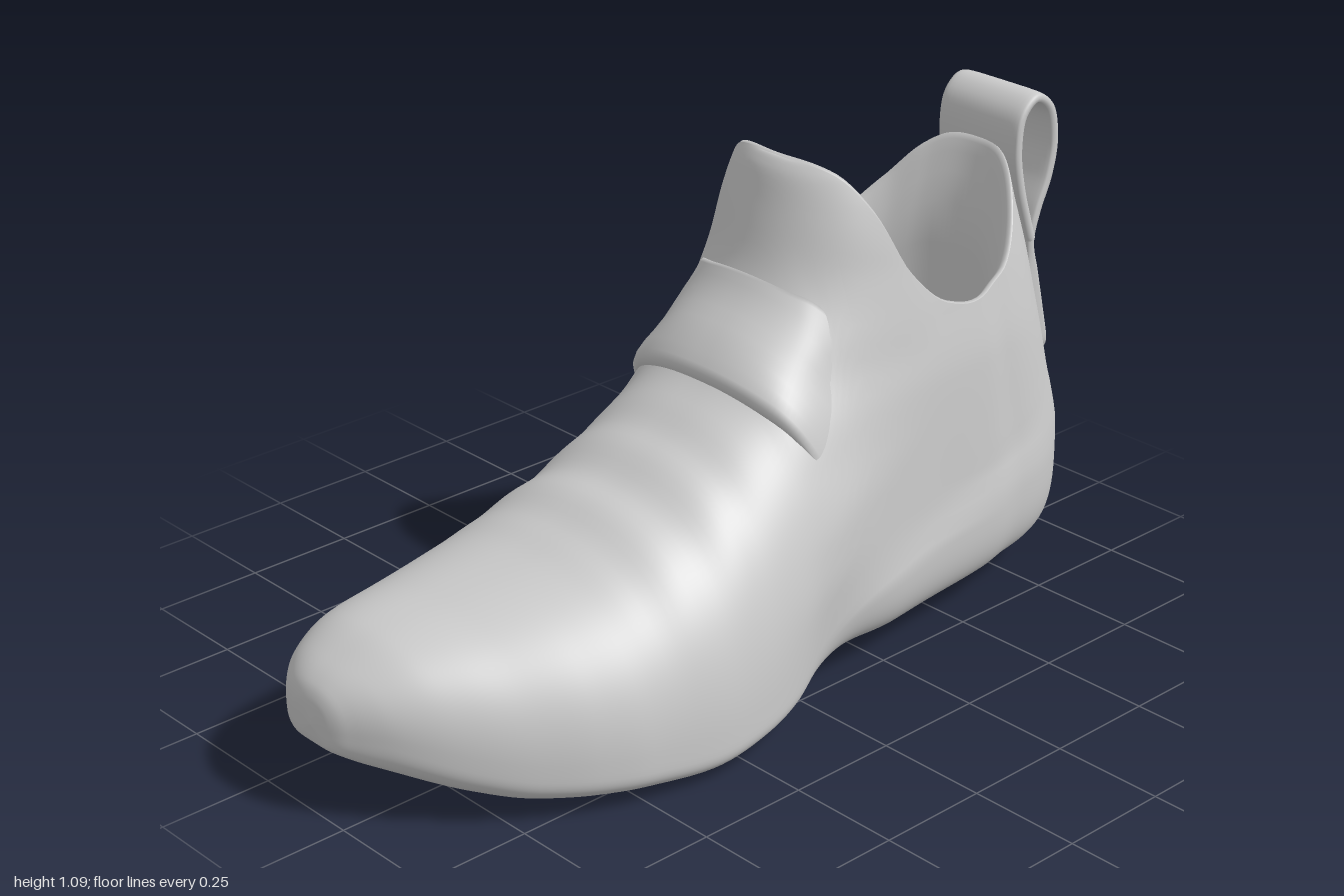
import * as THREE from 'three';
import { mergeGeometries, mergeVertices } from 'three/addons/utils/BufferGeometryUtils.js';

const PI = Math.PI;
const { smoothstep: smooth, lerp } = THREE.MathUtils;

// Monotone cubic curve through [x, value] pairs
function curve(p) {
  const d = p.slice(1).map((q, i) => (q[1] - p[i][1]) / (q[0] - p[i][0]));
  const m = p.map((_, i) => {
    if (i === 0) return d[0];
    if (i === d.length) return d[i - 1];
    return d[i - 1] * d[i] <= 0 ? 0 : 2 * d[i - 1] * d[i] / (d[i - 1] + d[i]);
  });
  return x => {
    let i = 0;
    while (i < p.length - 2 && x > p[i + 1][0]) i++;
    const h = p[i + 1][0] - p[i][0];
    const t = Math.min(1, Math.max(0, (x - p[i][0]) / h)), s = 1 - t;
    return p[i][1] * s * s * (1 + 2 * t) + p[i + 1][1] * t * t * (3 - 2 * t)
      + h * t * s * (m[i] * s - m[i + 1] * t);
  };
}

// Side profile: top line (vamp, tongue, collar, heel) and sole line
const topLine = curve([[-1, .2], [-.995, .25], [-.98, .28], [-.93, .32], [-.85, .36], [-.7, .39], [-.5, .44],
  [-.4, .485], [-.3, .525], [-.2, .58], [-.12, .63], [-.05, .68], [0, .74], [.06, .81], [.1, .88], [.14, .99],
  [.17, 1.07], [.19, 1.09], [.22, 1.075], [.27, 1], [.35, .85], [.45, .765], [.54, .742], [.65, .768],
  [.74, .845], [.8, .925], [.84, .96], [.87, .85], [.895, .75], [.915, .65], [.94, .55], [.965, .45],
  [.98, .4], [.987, .34], [.99, .2]]);
const soleLine = curve([[-1, .2], [-.995, .16], [-.98, .145], [-.9, .105], [-.8, .06], [-.7, .03], [-.5, .01],
  [-.35, 0], [-.2, .015], [0, .045], [.12, .05], [.3, .035], [.5, .04], [.8, .055], [.94, .07], [.975, .09],
  [.987, .13], [.99, .2]]);
// Plan outline on both sides; the heel is rounded off separately
const outerEdge = curve([[-1, -.09], [-.995, -.15], [-.97, -.21], [-.9, -.28], [-.8, -.335], [-.7, -.36],
  [-.5, -.38], [-.2, -.365], [0, -.35], [.2, -.36], [.6, -.355], [.7, -.345], [.99, -.335]]);
const innerEdge = curve([[-1, -.09], [-.995, -.04], [-.97, .01], [-.9, .1], [-.8, .19], [-.7, .26], [-.6, .315],
  [-.5, .35], [-.3, .38], [-.1, .36], [0, .335], [.2, .295], [.4, .27], [.6, .255], [.7, .235], [.99, .215]]);
// Ankle: wall taper by height, and depth of the rounded front by height
const wallTaper = curve([[.3, 1], [.6, .97], [.75, .9], [.9, .8], [1, .73], [1.09, .7]]);
const frontDepth = curve([[.5, .7], [.7, .45], [.85, .29], [1, .21], [1.09, .25]]);
const OPEN0 = .19, OPEN1 = .84, HEEL = .99;

// Where the top line reaches height y between a low end and a high end
function crossing(y, low, high) {
  for (let i = 0; i < 40; i++) {
    const x = (low + high) / 2;
    if (topLine(x) < y) low = x; else high = x;
  }
  return (low + high) / 2;
}

// Point on the shoe surface: station x, angle a round the section (0 = inner side, 90 degrees = top)
function surface(x, a) {
  const bottom = soleLine(x), fold = smooth(x, -.55, -.4) * (1 - smooth(x, -.2, -.08));
  const si = Math.sin(a), co = Math.cos(a), side = co < 0 ? -1 : 1;
  const cs = Math.abs(co) < 1e-5 ? 0 : Math.abs(co), sn = Math.abs(si);
  const top = topLine(x) + .004 * fold * Math.sin(x * 48);
  const mid = bottom + Math.min(.4 * (top - bottom), .08 + .17 * smooth(x, -.15, .4));
  const y = si >= 0 ? mid + (top - mid) * sn ** .85 : mid - (mid - bottom) * sn ** .6;

  // plan outline, its heel end moved forward with height
  const plan = x + (HEEL - crossing(y, HEEL, OPEN1)) * smooth(x, .4, .75);
  const heel = Math.min(1, Math.max(0, (plan - .7) / (HEEL - .7)));
  const centre = (innerEdge(plan) + outerEdge(plan)) / 2;
  const half = (innerEdge(plan) - outerEdge(plan)) / 2 * (1 - heel ** 2.1) ** (1 / 2.1);

  // forefoot dome turning into upright ankle walls
  const dome = si >= 0 ? cs ** .85 : 1;
  const front = Math.min(1, Math.max(0, (x - crossing(y, -1, OPEN0)) / frontDepth(y)));
  const ankle = wallTaper(y) * Math.sqrt(1 - (1 - front) ** 2);
  let w = half * lerp(dome, ankle, smooth(x, -.1, .15));
  if (si < 0) w *= cs ** .4;
  if (cs === 0 && (x <= OPEN0 || x >= OPEN1)) w = 0;

  // step above the midsole and narrow waist under the arch
  const line = .19 + .2 * x;
  w *= 1 - .04 * smooth(x, -.2, .3) * smooth(y, line - .04, line + .04);
  w *= 1 - .1 * Math.exp(-(((x - .06) / .15) ** 2)) * (1 - smooth(y, .06, .32));
  return new THREE.Vector3(x, y, centre + side * w);
}

// Skin a grid of points; wrap joins the last column to the first
function loft(rows, wrap = false) {
  const n = rows[0].length, index = [];
  for (let i = 0; i < rows.length - 1; i++) {
    for (let j = 0; j < (wrap ? n : n - 1); j++) {
      const k = (j + 1) % n, a = i * n + j, d = i * n + k;
      index.push(a, a + n, d + n, a, d + n, d);
    }
  }
  const g = new THREE.BufferGeometry().setFromPoints(rows.flat());
  g.setIndex(index);
  g.computeVertexNormals();
  return g;
}

const range = (n, f) => Array.from({ length: n + 1 }, (_, i) => f(i / n));
const ease = u => (1 - Math.cos(PI * u)) / 2;

// Outer shell and lining welded into one smooth skin
function shoeBody() {
  const openX = range(60, u => OPEN0 + (OPEN1 - OPEN0) * ease(u));
  const stations = [
    ...range(100, u => -1 + (OPEN0 + 1) * ease(u)).slice(0, -1),
    ...openX,
    ...range(40, u => OPEN1 + (HEEL - OPEN1) * ease(u)).slice(1)];
  const E = 1e-7;
  const shell = loft(stations.map(x => range(120, u => surface(x, PI / 2 + E + u * (2 * PI - 2 * E)))));

  // lining drops from the collar edge to the footbed: [scale, depth]; the heel side is padded
  const rim = [
    ...openX.map(x => surface(x, PI / 2 + E)),
    ...openX.slice(1, -1).reverse().map(x => surface(x, PI / 2 - E))];
  const drop = [[1, 0], [.985, -.004], [.965, .012], [.945, .045], [.935, .1], [.93, .18], [.93, .3], [.93, .55],
    [.91, .78], [.85, .92], [.7, .99], [.35, 1], [0, 1]];
  const lining = loft(drop.map(([s, d]) => rim.map(p => {
    const pad = p.x > .52 ? 1 - .18 * smooth(d, 0, .3) : 1;
    return new THREE.Vector3(.52 + (p.x - .52) * s * pad, p.y + (.17 - p.y) * d, -.05 + (p.z + .05) * s ** 1.8);
  })), true);

  const parts = [shell, lining];
  parts.forEach(g => g.deleteAttribute('normal'));
  const skin = mergeVertices(mergeGeometries(parts), 1e-5);
  skin.computeVertexNormals();
  return skin;
}

// Raised band over the instep: a lip at the front, sweeping back and fading into the sides
function instepBand() {
  return loft(range(60, u => {
    const a = .4 + u * (PI - .8), fade = smooth(Math.sin(u * PI), 0, .75);
    const x0 = .015 + .2 * (1 - Math.sin(a));
    return range(19, v => {
      const b = v * 2 * PI * 19 / 20, s = Math.sin(b), c = Math.cos(b);
      const lift = (.03 * Math.sign(s) * Math.abs(s) ** .5 * (.55 - .45 * c) + .003) * fade - .012 * (1 - fade);
      const p = surface(x0 + .075 * c, a);
      return p.add(new THREE.Vector3(-.5 * lift, lift * Math.sin(a), lift * Math.cos(a)));
    });
  }), true);
}

// Webbing strip up the heel, ending in a loop; the strip is backed against the heel
function pullTab() {
  const path = new THREE.CatmullRomCurve3([[.985, .4], [.98, .46], [.96, .55], [.938, .64], [.917, .72],
    [.93, .79], [.96, .87], [.973, .95], [.955, 1.03], [.91, 1.06], [.868, 1.03], [.855, .95], [.87, .86],
    [.895, .78], [.912, .73]].map(([x, y]) => new THREE.Vector3(x, y, -.07)));
  return loft(range(100, u => {
    const p = path.getPointAt(u), t = path.getTangentAt(u);
    const end = 1 - Math.min(1, u / .07);
    const half = (.108 + .01 * smooth(u, .2, .5)) * Math.sqrt(1 - end * end);
    const backing = .035 * (1 - smooth(u, .2, .3));
    return range(23, v => {
      const b = v * 2 * PI * 23 / 24, c = Math.cos(b), s = Math.sin(b);
      const off = (.013 + (s < 0 ? backing : 0)) * Math.sign(s) * Math.abs(s) ** .4;
      return new THREE.Vector3(p.x + t.y * off, p.y - t.x * off,
        p.z - half * Math.sign(c) * Math.abs(c) ** .4);
    });
  }), true);
}

export function createModel() {
  const group = new THREE.Group();
  group.name = 'shoe';
  const material = new THREE.MeshStandardMaterial({ color: 0xcccccc, side: THREE.DoubleSide });
  const parts = { shoeBody: shoeBody(), instepBand: instepBand(), heelPullTab: pullTab() };
  for (const [name, geometry] of Object.entries(parts)) {
    const mesh = new THREE.Mesh(geometry, material);
    mesh.name = name;
    group.add(mesh);
  }
  return group;
}
